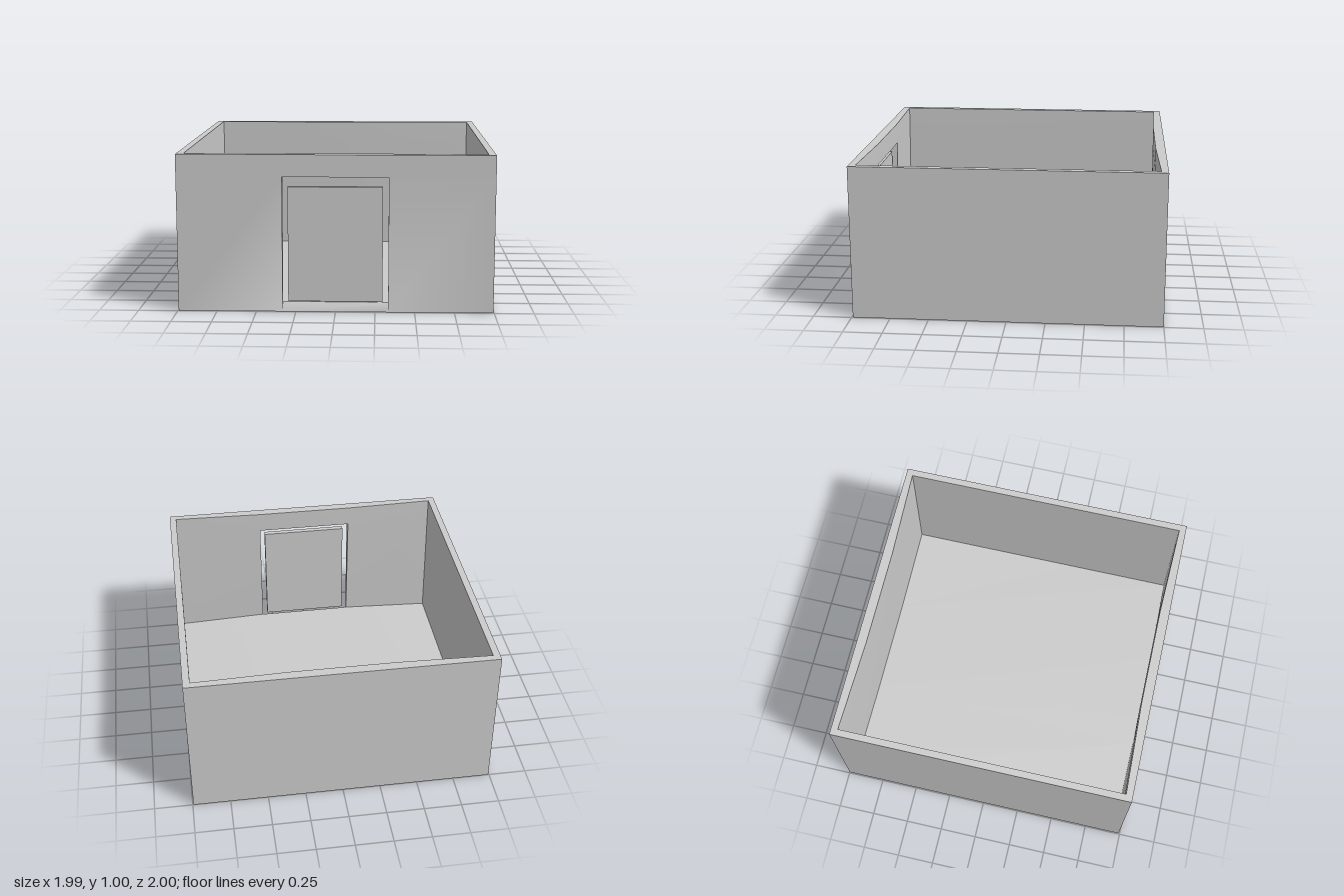
import * as THREE from 'three';
import { toCreasedNormals } from 'three/addons/utils/BufferGeometryUtils.js';

const HALF = 0.995, DOOR = 0.333, FRONT = 0.992, BACK = -1;
const ROWS = [0, 0.86, 1]; // ground, lintel height, rim
const THICK = 0.064;

// Plan of the outer wall, counter-clockwise from the front left corner
const PLAN = [
  [-HALF, FRONT], [-DOOR, FRONT], [DOOR, FRONT], [HALF, FRONT],
  [HALF, BACK], [DOOR, BACK], [-DOOR, BACK], [-HALF, BACK],
];

// Inner skin: each outer point moves by the wall thickness along its averaged normal
function inset(p) {
  const corner = Math.abs(p.x) === HALF;
  const inward = new THREE.Vector3(corner ? -Math.sign(p.x) : 0, 0, -Math.sign(p.z));
  if (p.y === 0) inward.y = !corner && p.z === FRONT ? 2 : 1; // threshold leans towards the floor
  return inward.setLength(THICK).add(p);
}

function shellGeometry() {
  const positions = [];
  const point = (i, row) => new THREE.Vector3(PLAN[i % 8][0], ROWS[row], PLAN[i % 8][1]);
  const quad = (a, b, c, d) => {
    for (const p of [a, b, c, a, c, d]) positions.push(p.x, p.y, p.z);
  };
  // Outer face together with its reversed inner face
  const panel = (a, b, c, d) => {
    quad(a, b, c, d);
    quad(inset(d), inset(c), inset(b), inset(a));
  };
  // Strip closing the thickness along an open panel edge
  const edge = (a, b) => quad(b, a, inset(a), inset(b));

  // Walls, leaving the doorway open, and the top rim
  for (let i = 0; i < 8; i++) {
    for (let row = 0; row < 2; row++) {
      if (i === 1 && row === 0) continue;
      panel(point(i, row), point(i + 1, row), point(i + 1, row + 1), point(i, row + 1));
    }
    edge(point(i + 1, 2), point(i, 2));
  }

  // Floor
  for (let c = 0; c < 3; c++) {
    panel(point(c, 0), point(7 - c, 0), point(6 - c, 0), point(c + 1, 0));
  }

  // Doorway: lintel, jambs and sloping threshold
  edge(point(1, 1), point(2, 1));
  edge(point(1, 0), point(1, 1));
  edge(point(2, 1), point(2, 0));
  edge(point(2, 0), point(1, 0));

  const geometry = new THREE.BufferGeometry();
  geometry.setAttribute('position', new THREE.Float32BufferAttribute(positions, 3));
  return toCreasedNormals(geometry, 0.5);
}

export function createModel() {
  const group = new THREE.Group();
  group.name = 'rooflessRoom';
  const material = new THREE.MeshStandardMaterial({ color: 0xcccccc });

  const shell = new THREE.Mesh(shellGeometry(), material);
  shell.name = 'wallsAndFloor';

  // Door panel, standing free in the opening
  const door = new THREE.Mesh(new THREE.BoxGeometry(0.594, 0.73, 0.036), material);
  door.position.set(0, 0.435, 0.982);
  door.name = 'door';

  group.add(shell, door);
  return group;
}
